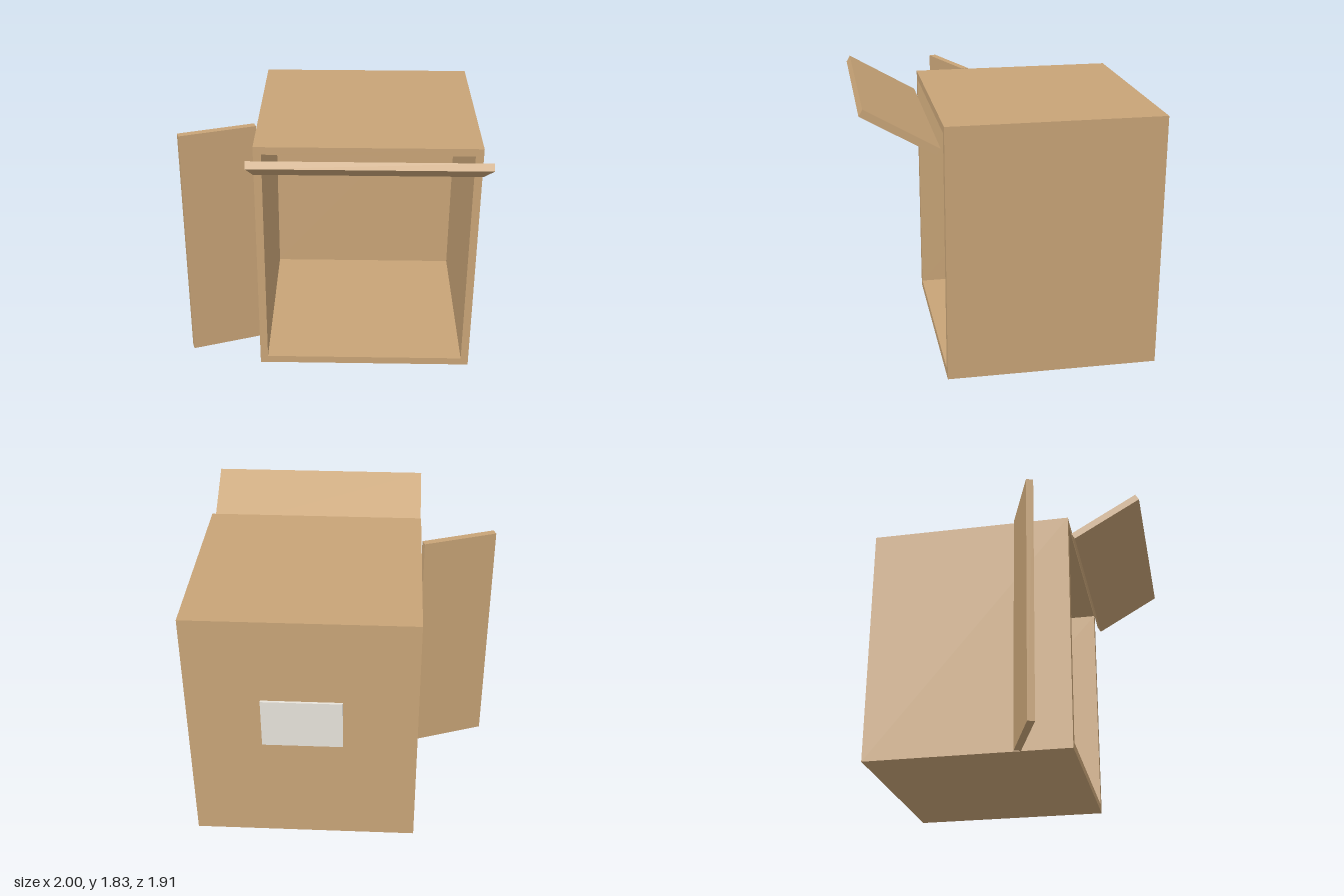
import * as THREE from 'three';

export function createModel() {
  const group = new THREE.Group();
  const cardboard = new THREE.MeshStandardMaterial({ color: 0xc8a477 });
  cardboard.name = 'cardboard';
  const paper = new THREE.MeshStandardMaterial({ color: 0xe8e4dc });
  paper.name = 'labelPaper';

  const left = 1, right = -0.485, height = 1.7, back = -0.94, front = 0.457;
  const wall = 0.053, flapThick = 0.048, flapLength = 0.525;
  const width = left - right, midX = (left + right) / 2;

  function add(name, geometry, material, x, y, z) {
    const mesh = new THREE.Mesh(geometry, material);
    mesh.name = name;
    mesh.position.set(x, y, z);
    group.add(mesh);
    return mesh;
  }

  function rectangle(PathType, w, h) {
    return new PathType([
      new THREE.Vector2(-w / 2, -h / 2), new THREE.Vector2(w / 2, -h / 2),
      new THREE.Vector2(w / 2, h / 2), new THREE.Vector2(-w / 2, h / 2),
    ]);
  }

  // Four walls as one hollow sleeve, open at the front
  const sleeve = rectangle(THREE.Shape, width, height);
  sleeve.holes.push(rectangle(THREE.Path, width - 2 * wall, height - 2 * wall));
  add('boxWalls', new THREE.ExtrudeGeometry(sleeve, { depth: front - back, bevelEnabled: false }),
    cardboard, midX, height / 2, back);

  // Back panel fitted inside the sleeve
  add('backPanel', new THREE.BoxGeometry(width - 2 * wall, height - 2 * wall, wall),
    cardboard, midX, height / 2, back + wall / 2);

  // Open flaps: one tilted up above the opening, one swung out at the side
  const topFlap = add('topFlap', new THREE.BoxGeometry(width, flapThick, flapLength),
    cardboard, midX, 1.677, 0.718);
  topFlap.rotation.x = -Math.PI / 6;

  const sideFlap = add('sideFlap', new THREE.BoxGeometry(flapLength, height, flapThick),
    cardboard, -0.746, height / 2, 0.19);
  sideFlap.rotation.y = Math.PI / 9;

  // Blank label on the back
  add('label', new THREE.BoxGeometry(0.525, 0.347, 0.017), paper, 0.258, 0.938, back - 0.0085);

  return group;
}
